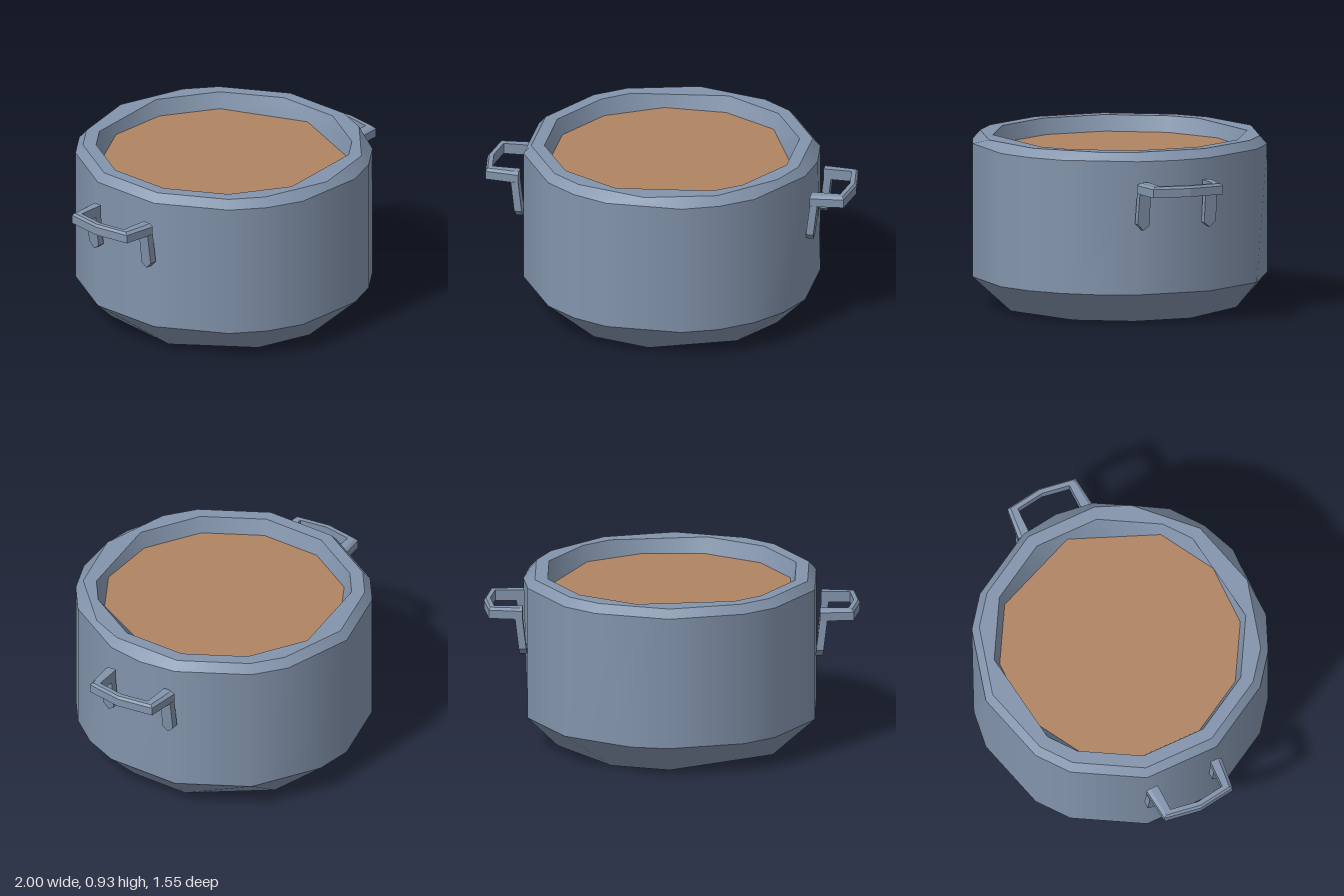
import * as THREE from 'three';

const steel = new THREE.MeshStandardMaterial({ color: 0x8394ac });
steel.name = 'blueGreySteel';
const broth = new THREE.MeshStandardMaterial({ color: 0xb08462 });
broth.name = 'brownBroth';

// Uneven polygon ring: corners at the given angles in degrees, from +x towards +z
const ring = (r, y, angles) => ({ r, y, angles });
const corner = ({ r, y, angles }, i) => {
  const a = THREE.MathUtils.degToRad(angles[i % angles.length]);
  return new THREE.Vector3(r * Math.cos(a), y, r * Math.sin(a));
};
const angleAt = ({ angles }, i) => angles[i % angles.length] + (i >= angles.length ? 360 : 0);

function buildGeometry(positions, normals, index) {
  const g = new THREE.BufferGeometry();
  g.setAttribute('position', new THREE.Float32BufferAttribute(positions, 3));
  g.setAttribute('normal', new THREE.Float32BufferAttribute(normals, 3));
  g.setIndex(index);
  return g;
}

// Joins two rings whose corner counts may differ, smooth around the axis
function band(a, b) {
  const na = a.angles.length, nb = b.angles.length;
  const pos = [], normals = [], index = [];
  for (const loop of [a, b]) {
    loop.angles.forEach((_, k) => {
      const p = corner(loop, k);
      const n = p.clone().setY(0).normalize().multiplyScalar(b.y - a.y).setY(a.r - b.r).normalize();
      pos.push(...p);
      normals.push(...n);
    });
  }
  let i = 0, j = 0;
  while (i < na || j < nb) {
    const A = i % na, B = na + (j % nb);
    if (j >= nb || (i < na && angleAt(a, i + 1) <= angleAt(b, j + 1))) {
      index.push(A, B, (i + 1) % na);
      i++;
    } else {
      index.push(A, B, na + ((j + 1) % nb));
      j++;
    }
  }
  return buildGeometry(pos, normals, index);
}

// Flat polygon filling a ring
function disc(a, up) {
  const ny = up ? 1 : -1, n = a.angles.length;
  const pos = [0, a.y, 0], normals = [0, ny, 0], index = [];
  for (let i = 0; i < n; i++) {
    pos.push(...corner(a, i));
    normals.push(0, ny, 0);
    const p = i + 1, q = ((i + 1) % n) + 1;
    index.push(0, up ? q : p, up ? p : q);
  }
  return buildGeometry(pos, normals, index);
}

function add(parent, name, geometry, material = steel) {
  const mesh = new THREE.Mesh(geometry, material);
  mesh.name = name;
  parent.add(mesh);
}

// Horizontal bar of a handle: five stations, each an outer and an inner point (x, z)
function gripGeometry() {
  const stations = [
    [0.79, 0.22, 0.79, 0.155],
    [0.97, 0.2, 0.942, 0.152],
    [1.0, 0, 0.965, 0],
    [0.97, -0.2, 0.942, -0.152],
    [0.79, -0.22, 0.79, -0.155],
  ];
  const sections = stations.map(([ox, oz, ix, iz]) => {
    const tx = THREE.MathUtils.lerp(ox, ix, 0.3), tz = THREE.MathUtils.lerp(oz, iz, 0.3);
    return [[ox, 0.712, oz], [ox, 0.757, oz], [tx, 0.77, tz], [ix, 0.77, iz], [ix, 0.712, iz]];
  });
  const pos = [], quad = (a, b, c, d) => pos.push(...a, ...b, ...c, ...a, ...c, ...d);
  for (let s = 0; s < 4; s++) {
    for (let k = 0; k < 5; k++) {
      const m = (k + 1) % 5;
      quad(sections[s][k], sections[s + 1][k], sections[s + 1][m], sections[s][m]);
    }
  }
  // Ends facing the pot wall
  for (const end of [sections[0], [...sections[4]].reverse()]) {
    for (let k = 1; k < 4; k++) pos.push(...end[0], ...end[k], ...end[k + 1]);
  }
  const g = new THREE.BufferGeometry();
  g.setAttribute('position', new THREE.Float32BufferAttribute(pos, 3));
  g.computeVertexNormals();
  return g;
}

// Leg with a pointed foot, leaning in towards the pot wall
function legGeometry(side) {
  const pts = [[0.157, 0.715], [0.157, 0.54], [0.19, 0.515], [0.224, 0.55], [0.22, 0.715]];
  const shape = new THREE.Shape(pts.map(([z, y]) => new THREE.Vector2(-side * z, y)));
  const g = new THREE.ExtrudeGeometry(shape, { depth: 0.04, bevelEnabled: false });
  g.rotateY(Math.PI / 2);
  const p = g.attributes.position;
  for (let i = 0; i < p.count; i++) p.setX(i, p.getX(i) + 0.79 - (0.715 - p.getY(i)) * 0.12);
  g.computeVertexNormals();
  return g;
}

export function createModel() {
  const root = new THREE.Group();
  root.name = 'cookingPot';
  const pot = new THREE.Group();
  pot.name = 'pot';
  pot.position.z = 0.012;
  root.add(pot);

  // Body rings from the base up, over the rim and down to the broth
  const base = ring(0.625, 0, [15, 45, 90, 120, 165, 210, 270, 300, 345]);
  const lower = ring(0.79, 0.165, [15, 30, 45, 60, 75, 105, 120, 135, 165, 195, 225, 240, 270, 285, 315, 345]);
  const upper = ring(0.79, 0.88, [0, 15, 45, 60, 75, 105, 120, 135, 165, 195, 225, 240, 270, 300, 315, 345]);
  const rimOuter = ring(0.75, 0.925, [15, 30, 60, 90, 120, 135, 165, 195, 225, 240, 270, 300, 315, 345]);
  const rimInner = ring(0.68, 0.925, [15, 45, 60, 105, 135, 165, 195, 225, 240, 285, 315, 345]);
  const surface = ring(0.65, 0.84, [0, 45, 75, 105, 135, 165, 195, 225, 255, 285, 315]);

  add(pot, 'base', disc(base, false));
  add(pot, 'lowerBevel', band(base, lower));
  add(pot, 'wall', band(lower, upper));
  add(pot, 'rimBevel', band(upper, rimOuter));
  add(pot, 'rim', band(rimOuter, rimInner));
  add(pot, 'innerWall', band(rimInner, surface));
  add(pot, 'broth', disc(surface, true), broth);

  // Two handles, one turned half round
  for (const [name, turn] of [['leftHandle', 0], ['rightHandle', Math.PI]]) {
    const handle = new THREE.Group();
    handle.name = name;
    handle.rotation.y = turn;
    add(handle, 'grip', gripGeometry());
    for (const side of [1, -1]) add(handle, 'handleLeg', legGeometry(side));
    pot.add(handle);
  }
  return root;
}
